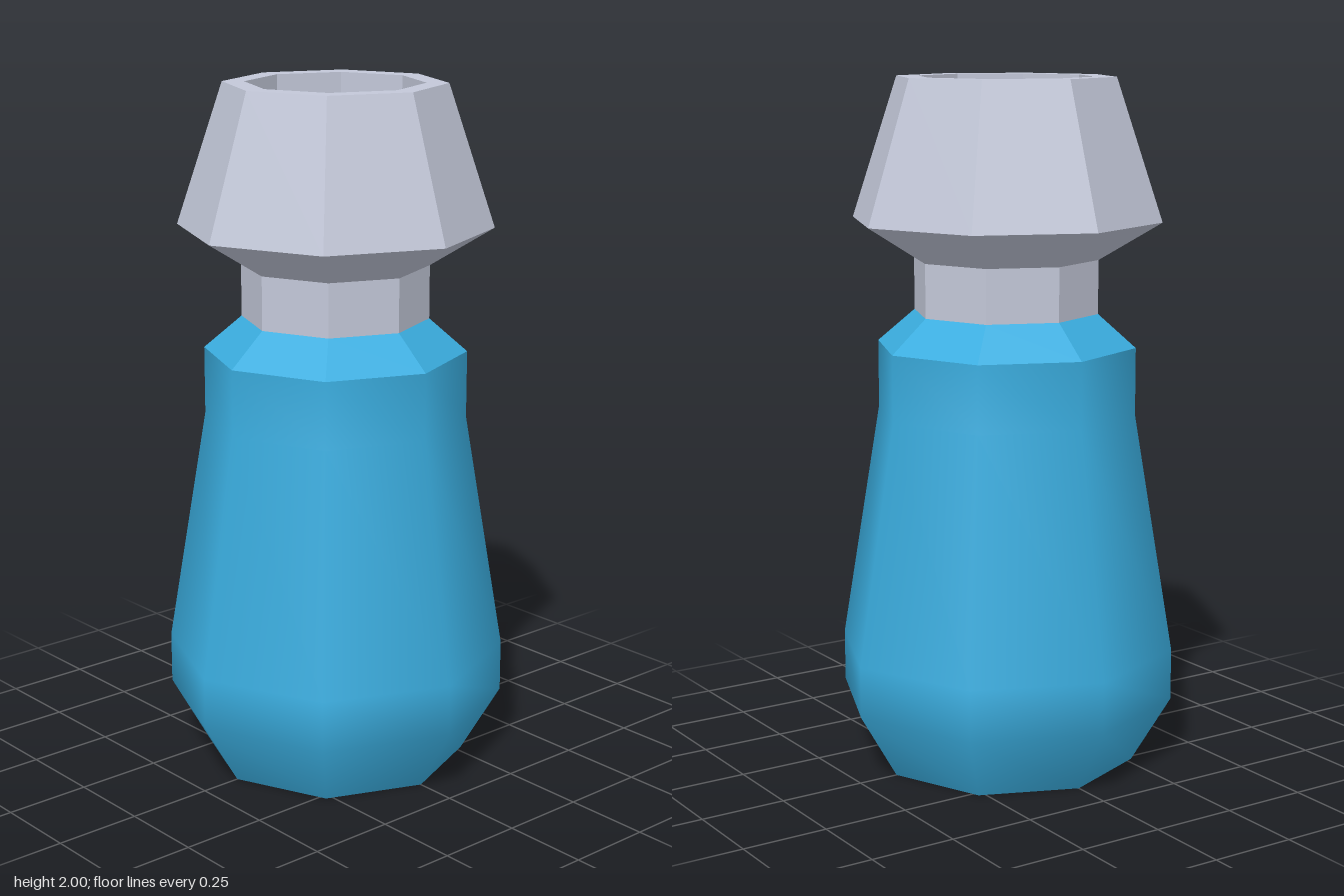
import * as THREE from 'three';

const SIDES = 8;

// Eight-sided surface of revolution; faceted gives each face its own normal
function turned(profile, faceted) {
  const lathe = new THREE.LatheGeometry(profile.map(([r, y]) => new THREE.Vector2(r, y)), SIDES);
  if (!faceted) return lathe;
  const flat = lathe.toNonIndexed();
  flat.computeVertexNormals();
  return flat;
}

// Horizontal octagon facing up or down
function cap(radius, y, up) {
  return new THREE.CircleGeometry(radius, SIDES)
    .rotateX(up ? -Math.PI / 2 : Math.PI / 2)
    .translate(0, y, 0);
}

export function createModel() {
  const blue = new THREE.MeshStandardMaterial({ color: 0x3aaddf });
  blue.name = 'blue handle';
  const grey = new THREE.MeshStandardMaterial({ color: 0xc3c8d9 });
  grey.name = 'light grey metal';

  const model = new THREE.Group();
  const add = (name, geometry, material) => {
    const mesh = new THREE.Mesh(geometry, material);
    mesh.name = name;
    model.add(mesh);
  };

  // Handle: smooth sides, crisp shoulder and base
  add('handleBody', turned([[0.38, 0], [0.495, 0.195], [0.495, 0.345], [0.38, 1.04], [0.38, 1.235]], false), blue);
  add('handleShoulder', turned([[0.38, 1.235], [0.27, 1.33]], true), blue);
  add('handleBase', cap(0.38, 0, false), blue);

  // Neck and flared head with a recess in the top
  add('neck', turned([[0.27, 1.33], [0.27, 1.485]], true), grey);
  add('head', turned([[0.27, 1.485], [0.452, 1.595], [0.318, 2], [0.255, 2]], true), grey);
  add('recessWall', turned([[0.255, 2], [0.255, 1.835]], true), grey);
  add('recessFloor', cap(0.255, 1.835, true), grey);

  return model;
}
